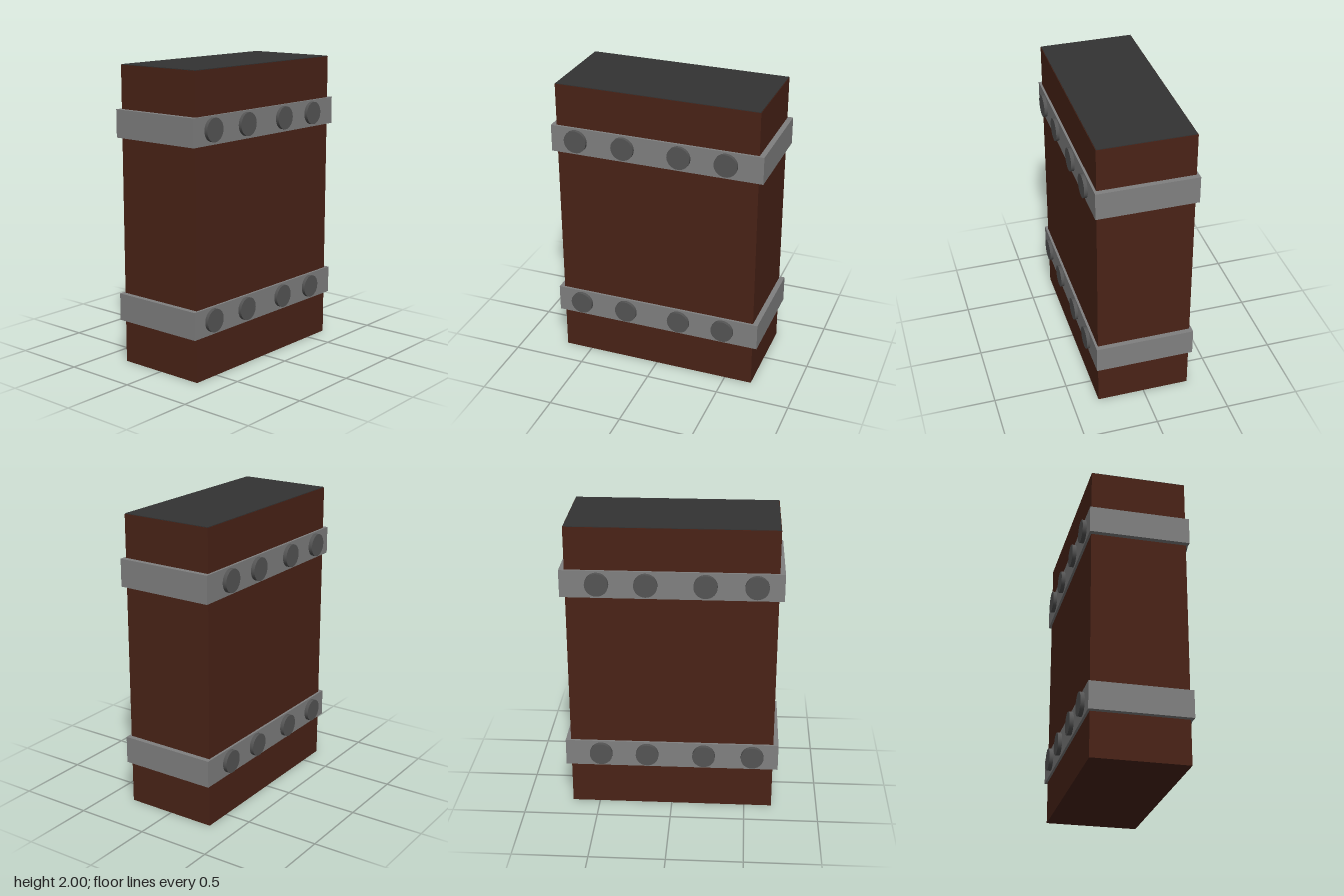
import * as THREE from 'three';

const paint = (color) => new THREE.MeshStandardMaterial({ color });

export function createModel() {
  const model = new THREE.Group();
  model.name = 'bandedBlock';
  const brown = paint(0x4a2317);
  const dark = paint(0x333333);
  const steel = paint(0x808080);
  const rivetGrey = paint(0x555555);

  const add = (name, geometry, material, x, y, z) => {
    const mesh = new THREE.Mesh(geometry, material);
    mesh.name = name;
    mesh.position.set(x, y, z);
    model.add(mesh);
    return mesh;
  };

  // Main block with a dark plate set in its top
  add('body', new THREE.BoxGeometry(0.636, 1.996, 1.376), brown, 0.002, 0.998, 0);
  add('topPlate', new THREE.BoxGeometry(0.63, 0.02, 1.37), dark, 0.002, 1.99, 0);

  // Two straps, each a rectangular ring closely wrapped around the block
  const rect = (target, w, d) => target
    .moveTo(-w, -d).lineTo(w, -d).lineTo(w, d).lineTo(-w, d).closePath();
  const outline = rect(new THREE.Shape(), 0.334, 0.723);
  outline.holes.push(rect(new THREE.Path(), 0.317, 0.687));
  const strap = new THREE.ExtrudeGeometry(outline, { depth: 0.184, bevelEnabled: false });
  strap.rotateX(-Math.PI / 2).translate(0, -0.092, 0);

  // Round rivets on both long sides of every strap
  const rivet = new THREE.CylinderGeometry(0.077, 0.077, 0.05, 32);
  rivet.rotateZ(Math.PI / 2);
  for (const [level, y] of [['lower', 0.388], ['upper', 1.62]]) {
    add(level + 'Strap', strap, steel, 0.002, y, 0);
    for (const side of [-1, 1]) {
      for (const z of [0.547, 0.218, -0.166, -0.48]) {
        const name = level + (side > 0 ? 'Left' : 'Right') + 'Rivet';
        add(name, rivet, rivetGrey, side * 0.334, y + 0.004, z);
      }
    }
  }
  return model;
}
